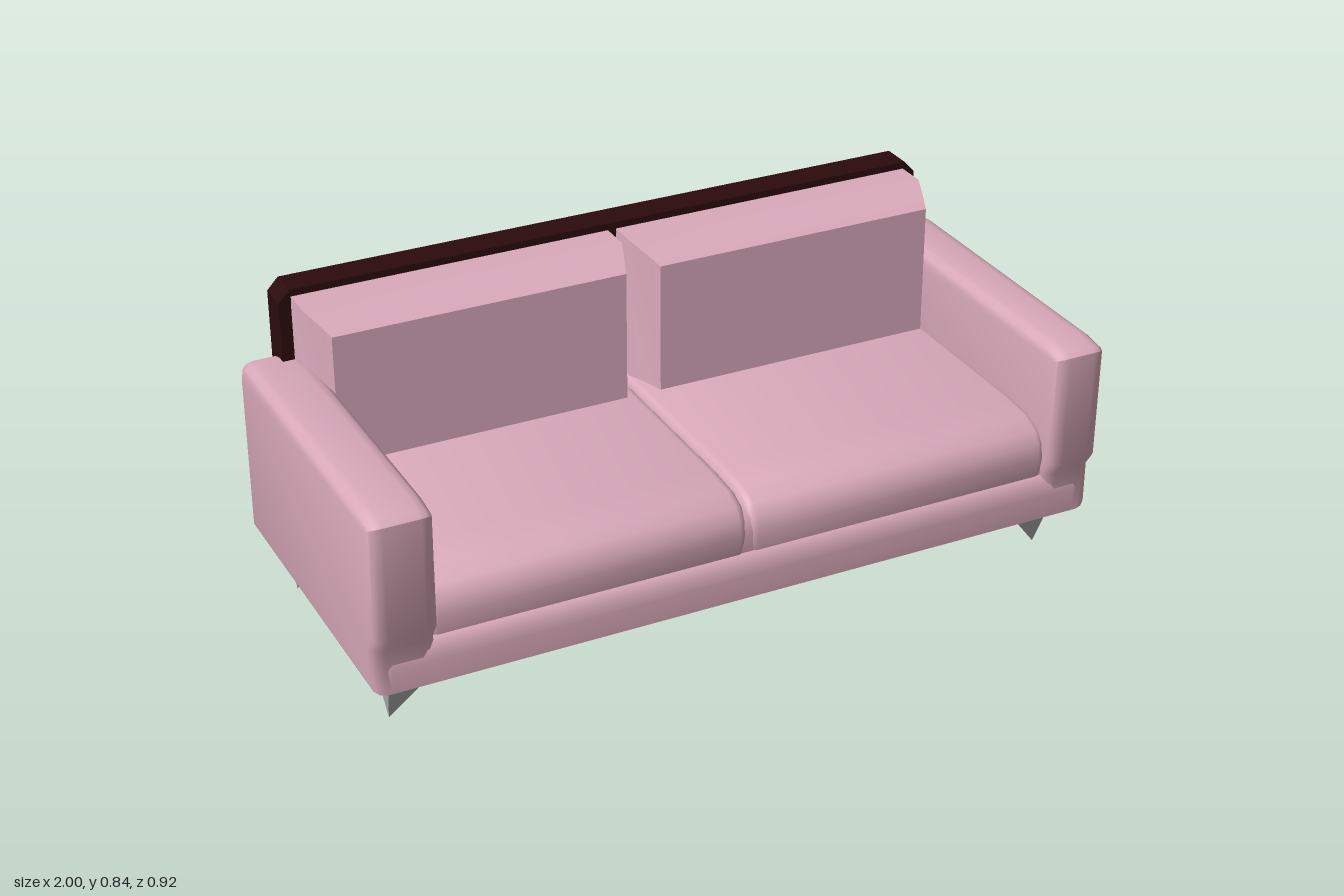
import * as THREE from 'three';
import { toCreasedNormals } from 'three/addons/utils/BufferGeometryUtils.js';

const fabric = new THREE.MeshStandardMaterial({ color: 0xd9a9ba });
const darkWood = new THREE.MeshStandardMaterial({ color: 0x2c0b0d });
const metal = new THREE.MeshStandardMaterial({ color: 0xaeaeae });

// Extrudes a [z, y] side profile along x from x0 to x1, with rounded ends
function slab(profile, x0, x1, inset = 0, thickness = 0) {
  const shape = new THREE.Shape(profile.map(([z, y]) => new THREE.Vector2(-z, y)));
  const geo = new THREE.ExtrudeGeometry(shape, {
    depth: x1 - x0 - 2 * thickness,
    bevelEnabled: thickness > 0,
    bevelSize: inset,
    bevelOffset: -inset,
    bevelThickness: thickness,
    bevelSegments: 3,
  });
  geo.rotateY(Math.PI / 2);
  geo.translate(x0 + thickness, 0, 0);
  return geo;
}

export function createModel() {
  const sofa = new THREE.Group();
  sofa.name = 'sofa';
  const add = (name, geo, material, crease = 0.75) => {
    const mesh = new THREE.Mesh(crease ? toCreasedNormals(geo, crease) : geo, material);
    mesh.name = name;
    sofa.add(mesh);
    return mesh;
  };

  // Base with a softened front lip
  const baseProfile = [
    [-0.445, 0.155], [0.43, 0.155], [0.432, 0.22], [0.428, 0.25],
    [0.415, 0.272], [0.39, 0.283], [-0.445, 0.283],
  ];
  add('base', slab(baseProfile, -0.99, 0.99, 0.025, 0.04), fabric);

  // Armrests
  const armProfile = [
    [-0.449, 0.155], [0.43, 0.155], [0.43, 0.28], [0.457, 0.32], [0.46, 0.63],
    [0.445, 0.641], [0.38, 0.65], [-0.4, 0.65], [-0.432, 0.64], [-0.449, 0.6],
  ];
  add('rightArm', slab(armProfile, -1, -0.835, 0.025, 0.035), fabric);
  add('leftArm', slab(armProfile, 0.857, 1, 0.025, 0.035), fabric);

  // Seat cushions over a filler that closes the lower part of the groove
  const seatProfile = [
    [-0.37, 0.27], [0.41, 0.27], [0.42, 0.33], [0.412, 0.37],
    [0.39, 0.4], [0.34, 0.422], [0.24, 0.43], [-0.37, 0.43],
  ];
  const fillerProfile = [
    [-0.37, 0.27], [0.408, 0.27], [0.415, 0.33], [0.404, 0.367],
    [0.38, 0.39], [0.34, 0.402], [-0.37, 0.405],
  ];
  add('rightSeatCushion', slab(seatProfile, -0.85, 0.002, 0.028, 0.025), fabric);
  add('leftSeatCushion', slab(seatProfile, 0.002, 0.87, 0.028, 0.025), fabric);
  add('seatFiller', slab(fillerProfile, -0.84, 0.86), fabric);

  // Back cushions, narrowing towards the front
  const backProfile = [
    [-0.38, 0.4], [-0.29, 0.4], [-0.22, 0.4], [-0.188, 0.4],
    [-0.188, 0.788], [-0.22, 0.801], [-0.29, 0.825], [-0.38, 0.825],
  ];
  const backCushion = (x0, x1) => {
    const geo = slab(backProfile, x0, x1);
    const pos = geo.attributes.position;
    const middle = (x0 + x1) / 2;
    for (let i = 0; i < pos.count; i++) {
      const inset = 0.037 * THREE.MathUtils.clamp((pos.getZ(i) + 0.29) / 0.102, 0, 1);
      pos.setX(i, pos.getX(i) - Math.sign(pos.getX(i) - middle) * inset);
    }
    return geo;
  };
  add('rightBackCushion', backCushion(-0.873, -0.003), fabric);
  add('leftBackCushion', backCushion(0.02, 0.885), fabric);

  // Back panel with clipped upper corners
  const panel = new THREE.Shape([
    [-0.905, 0.175], [0.92, 0.175], [0.92, 0.812],
    [0.89, 0.844], [-0.875, 0.844], [-0.905, 0.812],
  ].map(([x, y]) => new THREE.Vector2(x, y)));
  const panelGeo = new THREE.ExtrudeGeometry(panel, { depth: 0.084, bevelEnabled: false });
  panelGeo.translate(0, 0, -0.459);
  add('backPanel', panelGeo, darkWood, 0);

  // Pointed legs: inverted pyramids with the tip pushed outwards
  for (const side of [-1, 1]) {
    for (const [place, z] of [['front', 0.306], ['back', -0.344]]) {
      const geo = new THREE.CylinderGeometry(Math.SQRT2, 0, 0.155, 4, 1, false, Math.PI / 4);
      const pos = geo.attributes.position;
      for (let i = 0; i < pos.count; i++) {
        const tip = pos.getY(i) < 0;
        const outer = pos.getX(i) * side > 0;
        pos.setX(i, tip ? side * 0.047 : pos.getX(i) * 0.064);
        pos.setZ(i, pos.getZ(i) * (outer ? 0.056 : 0.068));
      }
      const name = place + (side < 0 ? 'RightLeg' : 'LeftLeg');
      add(name, geo, metal, 0.2).position.set(side * 0.875, 0.0775 + 0.002, z);
    }
  }
  return sofa;
}
